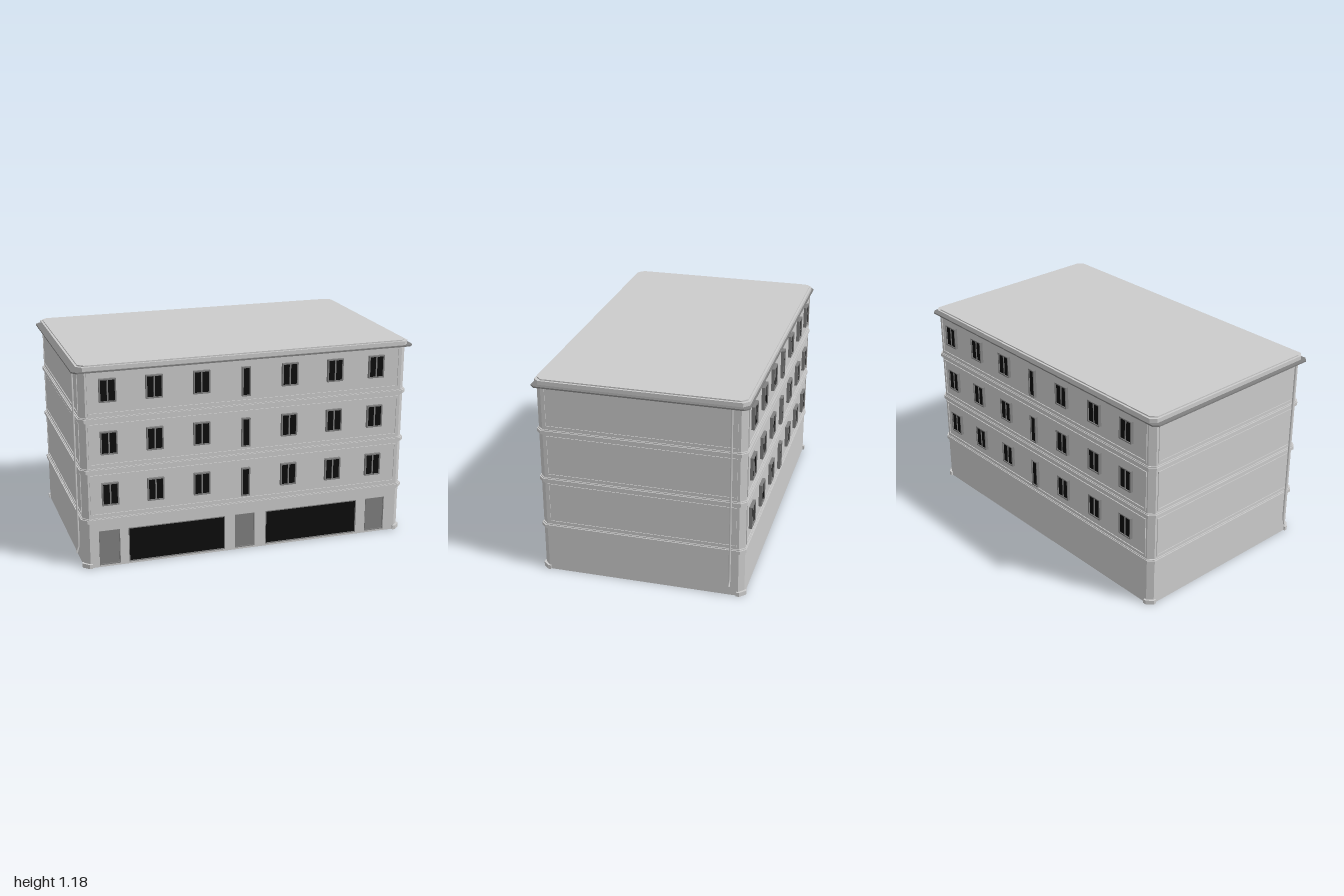
import * as THREE from 'three';

const wall = new THREE.MeshStandardMaterial({ color: 0xcccccc, flatShading: true });
const trim = new THREE.MeshStandardMaterial({ color: 0x808080, flatShading: true });
const glass = new THREE.MeshStandardMaterial({ color: 0x0c0c0c, flatShading: true });

const HX = 0.963, HZ = 0.583, CUT = 0.03; // half plan size and corner chamfer
const BASE = 0.275, TOP = 1.15, T = 0.02;

function add(parent, name, geo, mat, x = 0, y = 0, z = 0) {
  const m = new THREE.Mesh(geo, mat);
  m.name = name;
  m.position.set(x, y, z);
  parent.add(m);
  return m;
}

// Plan outline given as [x, z] pairs, raised from y0 to y1
function prism(points, y0, y1) {
  const shape = new THREE.Shape(points.map(([x, z]) => new THREE.Vector2(x, -z)));
  const g = new THREE.ExtrudeGeometry(shape, { depth: y1 - y0, bevelEnabled: false });
  return g.rotateX(-Math.PI / 2).translate(0, y0, 0);
}

// Rectangle with chamfered corners
function octagon(x, z, c = CUT) {
  return [[x - c, z], [x, z - c], [x, c - z], [x - c, -z], [c - x, -z], [-x, c - z], [-x, z - c], [c - x, z]];
}

function rectPath(Type, x0, x1, y0, y1) {
  const p = new Type();
  p.moveTo(x0, y0);
  p.lineTo(x1, y0);
  p.lineTo(x1, y1);
  p.lineTo(x0, y1);
  p.closePath();
  return p;
}

// Upright plate with rectangular holes, each [x0, x1, y0, y1]
function plate(rect, holes, depth) {
  const s = rectPath(THREE.Shape, ...rect);
  s.holes = holes.map((h) => rectPath(THREE.Path, ...h));
  return new THREE.ExtrudeGeometry(s, { depth, bevelEnabled: false });
}

function frame(w, h, t, depth) {
  return plate([-w / 2, w / 2, -h / 2, h / 2], [[t - w / 2, w / 2 - t, t - h / 2, h / 2 - t]], depth);
}

// Framed window hung from its top edge, facing +z
function makeWindow(w, h, panes) {
  const g = new THREE.Group();
  g.name = 'window';
  add(g, 'windowFrame', frame(w, h, 0.007, 0.018), trim, 0, -h / 2);
  add(g, 'windowGlass', new THREE.BoxGeometry(w - 0.012, h - 0.012, 0.012), glass, 0, -h / 2, 0.006);
  if (panes === 2) add(g, 'mullion', new THREE.BoxGeometry(0.008, h - 0.012, 0.015), trim, 0, -h / 2, 0.0075);
  return g;
}

// Windows and panel mouldings of one long face
function makeFacade() {
  const g = new THREE.Group();
  g.name = 'facade';
  for (let f = 0; f < 3; f++) {
    const y = 0.505 + f * 0.299;
    [-0.81, -0.55, -0.28, -0.02, 0.24, 0.515, 0.77].forEach((x, i) => {
      const w = i === 3 ? makeWindow(0.05, 0.17, 1) : makeWindow(0.095, 0.132, 2);
      w.position.set(x, y, HZ);
      g.add(w);
    });
    add(g, 'panelMoulding', frame(1.845, 0.242, 0.011, 0.005), wall, 0, 0.431 + f * 0.294, HZ);
  }
  return g;
}

// Mouldings, gutter pipe of one short face (+x)
function makeSide() {
  const g = new THREE.Group();
  g.name = 'sideWall';
  for (let f = 0; f < 3; f++) {
    const m = add(g, 'panelMoulding', frame(1.078, 0.242, 0.009, 0.004), wall, HX, 0.431 + f * 0.294, 0);
    m.rotation.y = Math.PI / 2;
  }
  const path = new THREE.CatmullRomCurve3([
    [0.985, 1.145], [0.984, 0.8], [0.984, 0.4], [0.984, 0.1], [0.987, 0.08], [0.994, 0.071],
  ].map(([x, y]) => new THREE.Vector3(x, y, -0.508)));
  add(g, 'drainPipe', new THREE.TubeGeometry(path, 24, 0.006, 8), new THREE.MeshStandardMaterial({ color: 0xcccccc, side: THREE.DoubleSide }));
  return g;
}

export function createModel() {
  const model = new THREE.Group();
  model.name = 'building';

  // Upper storeys
  add(model, 'upperStoreys', prism(octagon(HX, HZ), BASE, TOP), wall);

  // Hollow ground floor: side and back walls, open underneath
  const fx = HX - CUT, ix = HX - T, iz = HZ - T, c = 0.025;
  add(model, 'groundWalls', prism([
    [fx, HZ], [HX, HZ - CUT], [HX, CUT - HZ], [fx, -HZ], [-fx, -HZ], [-HX, CUT - HZ], [-HX, HZ - CUT], [-fx, HZ],
    [-fx, iz], [-ix, iz - c], [-ix, c - iz], [c - ix, -iz], [ix - c, -iz], [ix, c - iz], [ix, iz - c], [fx, iz],
  ], 0, BASE), wall);

  // Shop front with its openings
  const doors = [[-0.88, -0.76], [-0.08, 0.04], [0.74, 0.86]];
  const shops = [[-0.71, -0.14], [0.107, 0.68]];
  const openings = [...doors, ...shops].map(([a, b]) => [a, b, 0.012, 0.218]);
  add(model, 'shopFront', plate([-fx, fx, 0, BASE], openings, T), wall, 0, 0, iz);
  openings.forEach(([a, b, y0, y1], i) => {
    const isDoor = i < doors.length, w = b - a, h = y1 - y0, x = (a + b) / 2, y = (y0 + y1) / 2;
    add(model, isDoor ? 'door' : 'shopWindow', new THREE.BoxGeometry(w, h, 0.006), isDoor ? trim : glass, x, y, HZ - 0.006);
    add(model, 'openingBack', new THREE.BoxGeometry(w, h, 0.003), wall, x, y, HZ - 0.0105);
    add(model, 'openingFrame', frame(w, h, 0.005, 0.009), trim, x, y, HZ - 0.006);
  });

  // Bands between storeys
  for (let f = 0; f < 3; f++) {
    const y = 0.272 + f * 0.294;
    add(model, 'floorBand', prism(octagon(0.974, 0.591), y, y + 0.019), wall);
    add(model, 'bandLip', prism(octagon(0.968, 0.587), y - 0.006, y + 0.025), wall);
  }

  // Eaves, cornice and roof
  add(model, 'eaves', prism(octagon(1, 0.6, 0.025), 1.142, 1.15), trim);
  add(model, 'cornice', prism(octagon(0.974, 0.592), 1.15, 1.173), wall);
  add(model, 'roof', prism(octagon(0.962, 0.58), 1.173, 1.18), wall);

  // Corner plinths
  for (const sx of [-1, 1]) for (const sz of [-1, 1]) {
    const pts = [[0.922, 0.594], [0.94, 0.594], [0.973, 0.561], [0.973, 0.543], [0.953, 0.543], [0.922, 0.574]];
    add(model, 'cornerPlinth', prism(pts.map(([x, z]) => [x * sx, z * sz]), 0, 0.025), wall);
  }

  // Both long faces and both short faces, turned half way round
  for (const turn of [0, Math.PI]) for (const make of [makeFacade, makeSide]) {
    const g = make();
    g.rotation.y = turn;
    model.add(g);
  }
  return model;
}
